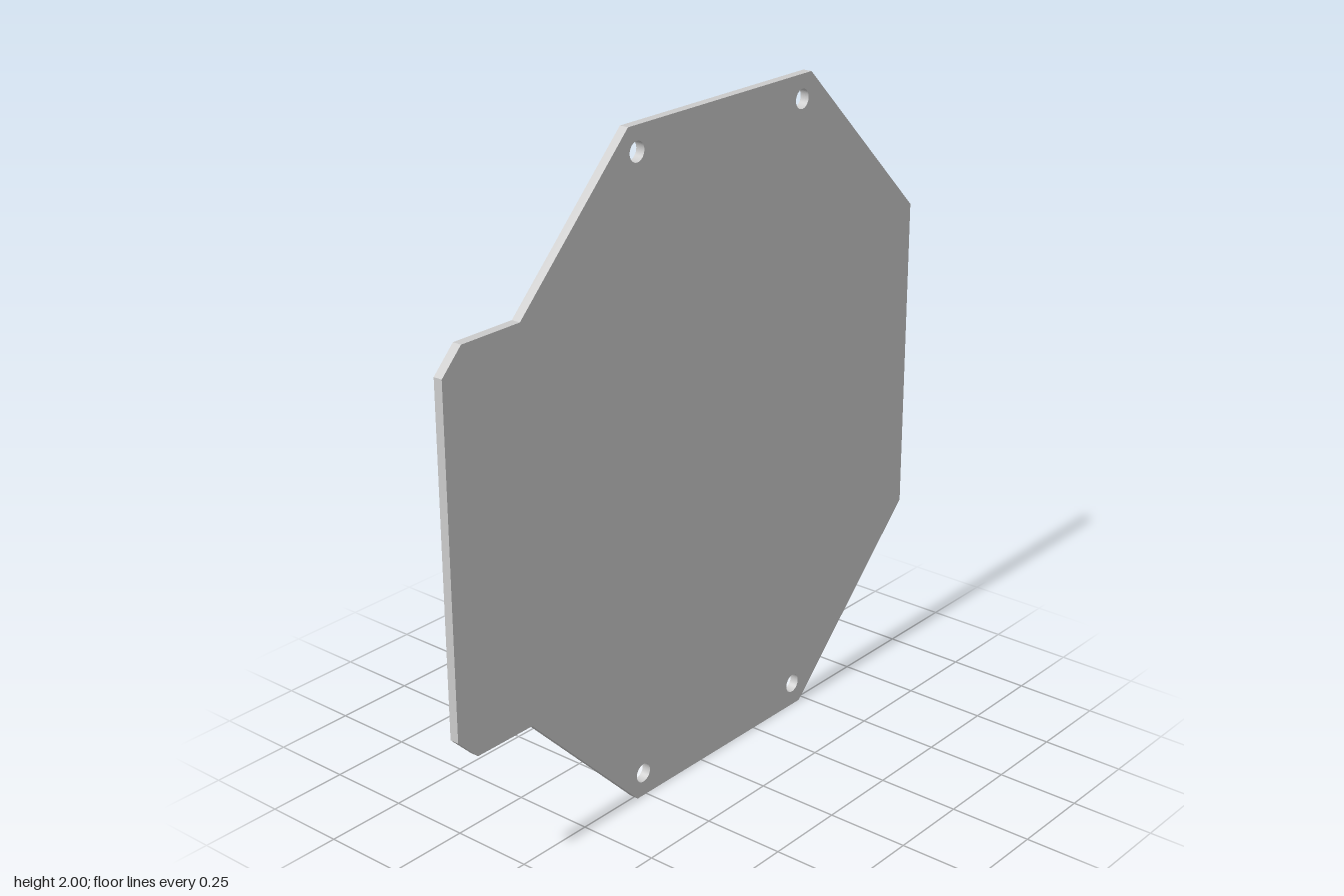
import * as THREE from 'three';

export function createModel() {
  const group = new THREE.Group();
  const thickness = 0.028;

  // Octagonal outline with a chamfered tab on the -x side
  const outline = [
    [-0.288, 0], [0.477, 0], [0.992, 0.51], [0.992, 1.493],
    [0.481, 2], [-0.296, 2], [-0.714, 1.584], [-0.922, 1.584],
    [-0.992, 1.513], [-0.992, 0.495], [-0.922, 0.426], [-0.714, 0.426],
  ];
  const shape = new THREE.Shape(outline.map(([x, y]) => new THREE.Vector2(x, y)));

  // Four round mounting holes
  for (const x of [-0.262, 0.441]) {
    for (const y of [0.074, 1.928]) {
      shape.holes.push(new THREE.Path().absarc(x, y, 0.029, 0, Math.PI * 2, true));
    }
  }

  const geometry = new THREE.ExtrudeGeometry(shape, {
    depth: thickness, bevelEnabled: false, curveSegments: 32,
  });
  geometry.translate(0, 0, -thickness / 2);

  const plate = new THREE.Mesh(geometry, new THREE.MeshStandardMaterial({ color: 0xcccccc }));
  plate.name = 'coverPlate';
  group.add(plate);
  return group;
}
